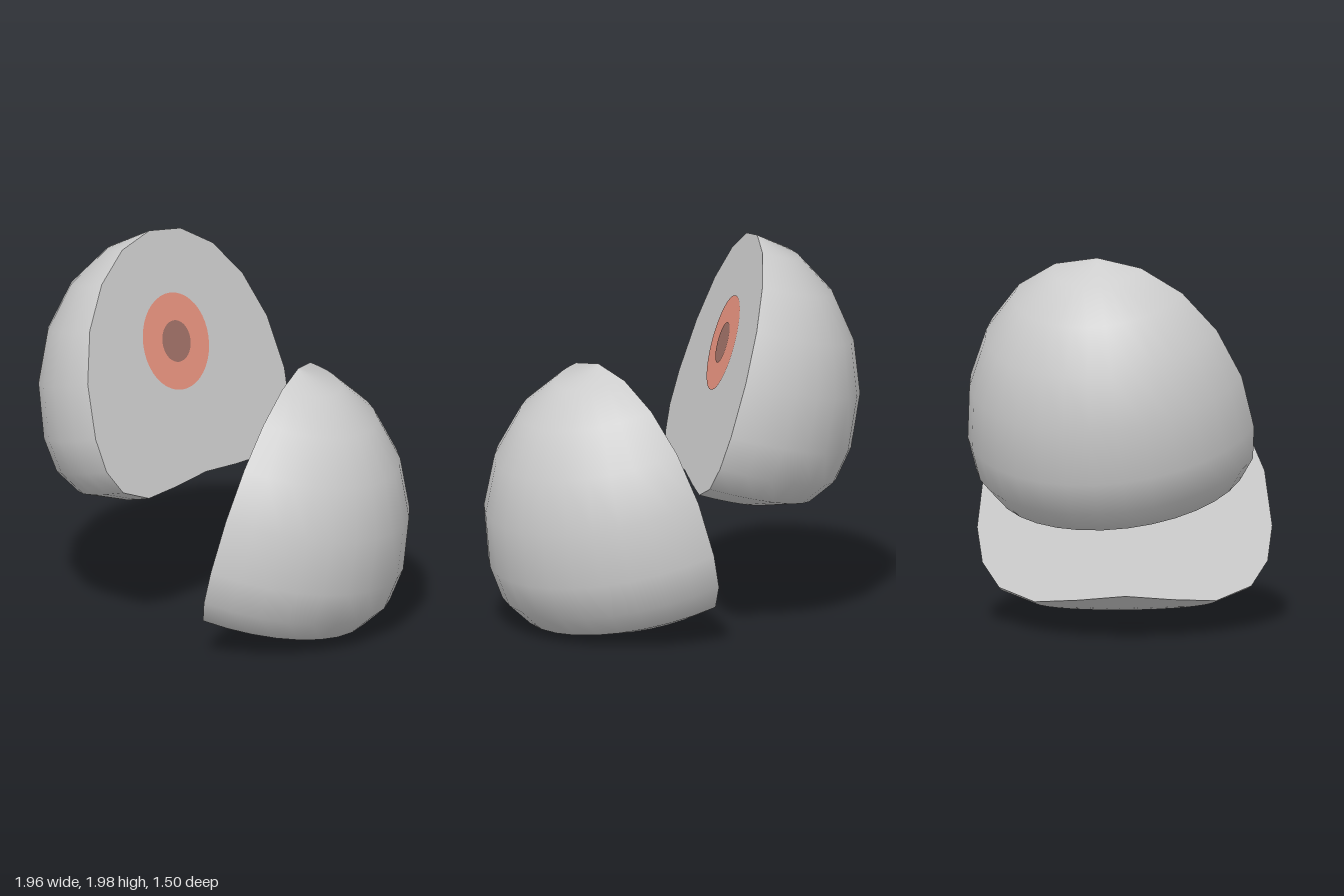
import * as THREE from 'three';

const shellMat = new THREE.MeshStandardMaterial({ color: 0xcccccc });
shellMat.name = 'lightGrey';
const pitMat = new THREE.MeshStandardMaterial({ color: 0xe8937f });
pitMat.name = 'salmon';
const coreMat = new THREE.MeshStandardMaterial({ color: 0x9f7066 });
coreMat.name = 'brown';

// Half profile (radius, height) from the dented base up to the domed top
function makeProfile() {
  const pts = [[0, -0.69], [0.24, -0.708], [0.465, -0.715], [0.645, -0.64], [0.73, -0.51]];
  for (let i = 0; i <= 5; i++) {
    const a = (i / 5) * Math.PI / 2;
    pts.push([0.755 * Math.cos(a), -0.33 + 0.915 * Math.sin(a)]);
  }
  pts[pts.length - 1][0] = 0;
  return pts.map(([r, h]) => new THREE.Vector2(r, h));
}

function add(group, name, geometry, material) {
  const mesh = new THREE.Mesh(geometry, material);
  mesh.name = name;
  group.add(mesh);
  return mesh;
}

// One half; side is the direction its flat cut faces along local x
function makeHalf(name, side, withCore) {
  const half = new THREE.Group();
  half.name = name;
  const profile = makeProfile();

  // Rounded outer skin
  const skin = new THREE.LatheGeometry(profile, 16, side > 0 ? Math.PI : 0, Math.PI);
  skin.scale(1.035, 1, 1);
  add(half, 'outerShell', skin, shellMat);

  // Flat cut face
  const mirrored = profile.slice(1, -1).reverse().map(p => new THREE.Vector2(-p.x, p.y));
  const cut = new THREE.ShapeGeometry(new THREE.Shape([...profile, ...mirrored]));
  add(half, 'cutFace', cut.rotateY(side * Math.PI / 2), shellMat);

  // Round pit and its darker core, as thin painted discs
  const disc = (label, r, lift, mat) => {
    const g = new THREE.CircleGeometry(r, 40).rotateY(side * Math.PI / 2);
    add(half, label, g, mat).position.x = side * lift;
  };
  disc('pit', 0.25, 0.004, pitMat);
  if (withCore) disc('pitCore', 0.107, 0.008, coreMat);
  return half;
}

export function createModel() {
  const model = new THREE.Group();
  model.name = 'splitFruit';

  const upper = makeHalf('upperHalf', 1, true);
  upper.position.set(-0.29, 1.44, 0);
  upper.rotation.set(0, -0.2, 0.3);

  const lower = makeHalf('lowerHalf', -1, false);
  lower.position.set(0.267, 0.83, 0);
  lower.rotation.set(0, 0.18, -0.25);

  model.add(upper, lower);
  return model;
}
